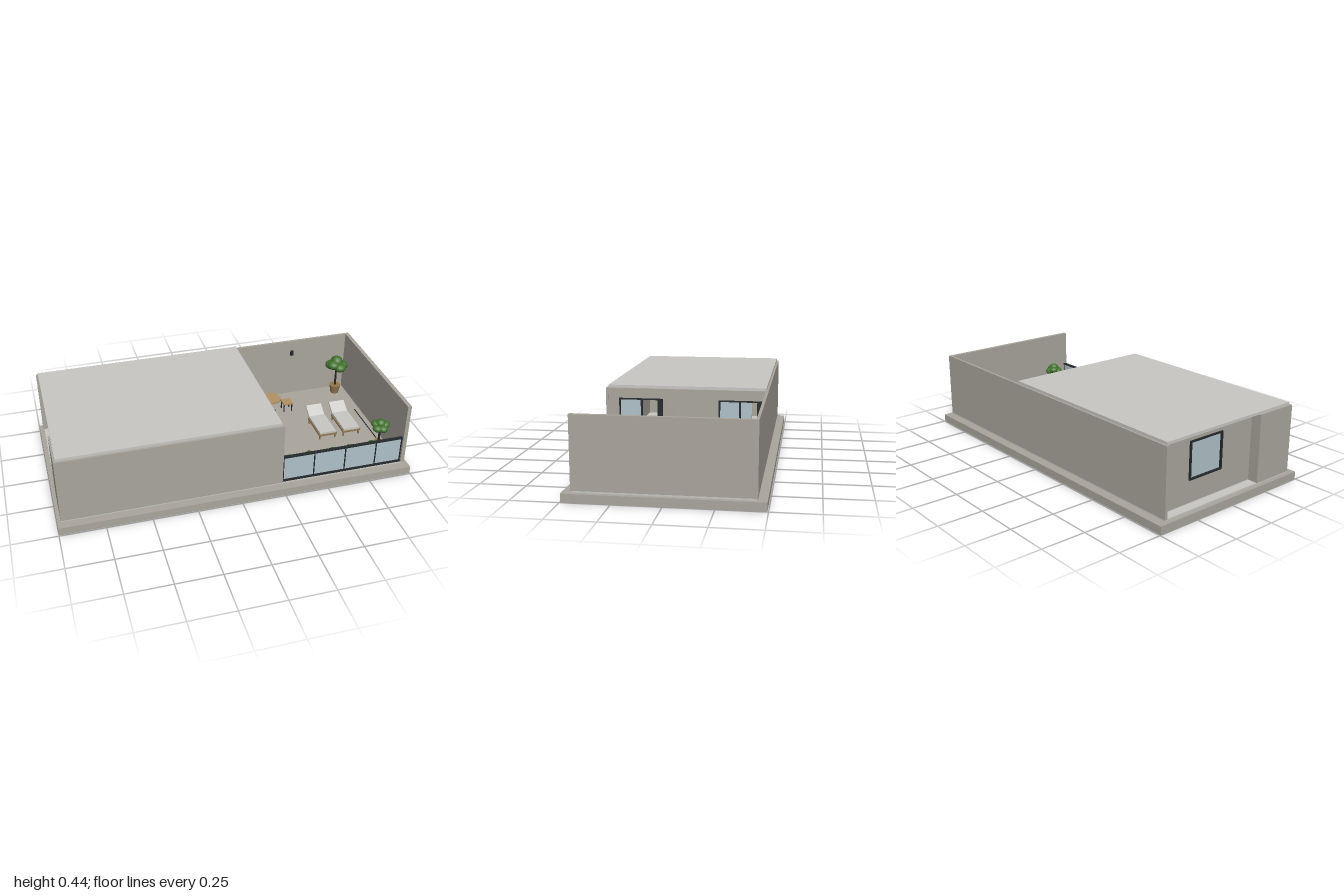
import * as THREE from 'three';

const mat = (name, color) => {
  const m = new THREE.MeshStandardMaterial({ color });
  m.name = name;
  return m;
};

export function createModel() {
  const root = new THREE.Group();
  root.name = 'terraceHouse';
  const wall = mat('concrete', 0xaaa69d);
  const pale = mat('paleGrey', 0xc8c7c4);
  const dark = mat('darkMetal', 0x25292c);
  const glass = mat('glass', 0xb0c1c9);
  const wood = mat('wood', 0xb39165);
  const brown = mat('planterBrown', 0x93764f);
  const leaf = mat('foliage', 0x44752f);

  const add = (parent, name, geo, material, x = 0, y = 0, z = 0) => {
    const m = new THREE.Mesh(geo, material);
    m.name = name;
    m.position.set(x, y, z);
    parent.add(m);
    return m;
  };
  // Box given by its minimum and maximum corners
  const box = (parent, name, material, x0, x1, y0, y1, z0, z1) =>
    add(parent, name, new THREE.BoxGeometry(x1 - x0, y1 - y0, z1 - z0), material,
      (x0 + x1) / 2, (y0 + y1) / 2, (z0 + z1) / 2);
  const group = (name, x = 0, y = 0, z = 0) => {
    const g = new THREE.Group();
    g.name = name;
    g.position.set(x, y, z);
    root.add(g);
    return g;
  };

  const F = 0.055; // floor level
  const T = 0.43; // wall top

  // Foundation, floors and roof
  box(root, 'foundation', wall, -1, 1, 0, 0.045, -0.495, 0.495);
  box(root, 'floorSlab', pale, -0.975, 0.975, 0.045, F - 0.001, -0.445, 0.445);
  box(root, 'terraceFloor', wall, 0.245, 0.958, 0.05, F, -0.436, 0.44);
  box(root, 'roof', pale, -0.97, 0.232, T, 0.445, -0.438, 0.438);

  // Outer walls
  box(root, 'backWall', wall, -0.98, 0.98, F, T, -0.45, -0.435);
  box(root, 'frontWall', wall, -0.98, 0.245, F, T, 0.435, 0.45);
  box(root, 'terraceEndWall', wall, 0.957, 0.98, F, T, -0.435, 0.45);
  box(root, 'houseEndWall', wall, -0.98, -0.92, F, T, 0.205, 0.435);

  // Wall across the depth with rectangular openings [z0, z1, y0, y1]
  const crossWall = (name, xOuter, depth, z0, z1, openings) => {
    const s = new THREE.Shape();
    s.moveTo(z0, F).lineTo(z1, F).lineTo(z1, T).lineTo(z0, T).closePath();
    for (const [a, b, c, d] of openings) {
      const h = new THREE.Path();
      h.moveTo(a, c).lineTo(a, d).lineTo(b, d).lineTo(b, c).closePath();
      s.holes.push(h);
    }
    const geo = new THREE.ExtrudeGeometry(s, { depth, bevelEnabled: false });
    geo.rotateY(-Math.PI / 2);
    add(root, name, geo, wall, xOuter, 0, 0);
  };
  const doors = [[0.13, 0.375], [-0.42, -0.18]];
  const win = [-0.24, -0.015, 0.18, 0.385];
  crossWall('terraceDoorWall', 0.243, 0.02, -0.435, 0.435,
    doors.map(([a, b]) => [a, b, F + 0.003, 0.375]));
  crossWall('recessedWindowWall', -0.9, 0.02, -0.435, 0.205, [win]);

  // Frame of four bars round an opening in the z-y plane
  const frame = (parent, x0, x1, z0, z1, y0, y1, t) => {
    for (const [a, b] of [[z0, z0 + t], [z1 - t, z1]]) box(parent, 'frameUpright', dark, x0, x1, y0, y1, a, b);
    for (const [a, b] of [[y0, y0 + t], [y1 - t, y1]]) box(parent, 'frameRail', dark, x0, x1, a, b, z0, z1);
  };

  // End window
  const window_ = group('endWindow');
  frame(window_, -0.93, -0.9, win[0], win[1], win[2], win[3], 0.008);
  box(window_, 'windowPane', glass, -0.918, -0.912, win[2], win[3], win[0], win[1]);

  // Sliding doors, each half open
  doors.forEach(([a, b], i) => {
    const g = group('slidingDoor');
    frame(g, 0.222, 0.249, a, b, F, 0.375, 0.008);
    const [p, q] = i === 0 ? [b - 0.125, b] : [b - 0.115, b];
    box(g, 'fixedPane', glass, 0.236, 0.241, F, 0.372, p, q);
    box(g, 'paneStile', dark, 0.232, 0.246, F, 0.372, p - 0.006, p + 0.004);
    box(g, 'openStile', dark, 0.23, 0.248, F, 0.372, a + 0.004, a + 0.03);
    if (i === 1) box(g, 'slidPane', glass, 0.228, 0.233, F, 0.372, a + 0.06, p);
  });

  // Furniture inside the house
  const room = group('interior');
  box(room, 'cabinet', wood, 0, 0.08, F, 0.15, -0.1, 0.2);
  box(room, 'cabinetShelf', wood, 0, 0.06, 0.22, 0.232, -0.1, 0.2);
  box(room, 'cabinetScreen', dark, 0.02, 0.03, 0.25, 0.35, -0.06, 0.16);

  // Glass railing
  const rail = group('railing');
  const posts = [0.25, 0.43, 0.613, 0.797, 0.952];
  box(rail, 'bottomRail', dark, 0.246, 0.957, F, 0.068, 0.426, 0.444);
  box(rail, 'topRail', dark, 0.246, 0.957, 0.212, 0.22, 0.426, 0.444);
  box(rail, 'glassPanels', glass, 0.25, 0.952, 0.068, 0.212, 0.433, 0.438);
  for (const x of posts) box(rail, 'railPost', dark, x - 0.003, x + 0.003, F, 0.22, 0.43, 0.442);

  // Wall lamp and floor strip
  box(root, 'wallLamp', dark, 0.59, 0.608, 0.333, 0.365, -0.435, -0.423);
  box(root, 'floorStrip', dark, 0.922, 0.927, F, F + 0.003, -0.13, 0.19);

  // Round table and two stools
  const table = group('table', 0.41, 0, -0.25);
  add(table, 'tableTop', new THREE.CylinderGeometry(0.058, 0.058, 0.01, 32), wood, 0, 0.151, 0);
  add(table, 'tableStem', new THREE.CylinderGeometry(0.007, 0.007, 0.09, 12), dark, 0, 0.101, 0);
  add(table, 'tableFoot', new THREE.CylinderGeometry(0.033, 0.033, 0.007, 24), dark, 0, F + 0.0035, 0);
  for (const x of [0.307, 0.513]) {
    const stool = group('stool', x, 0, -0.25);
    box(stool, 'seat', wood, -0.03, 0.03, 0.105, 0.115, -0.03, 0.03);
    for (const sx of [-1, 1]) for (const sz of [-1, 1])
      add(stool, 'stoolLeg', new THREE.BoxGeometry(0.006, 0.05, 0.006), dark, sx * 0.025, 0.08, sz * 0.025);
  }

  // Sun loungers
  for (const x of [0.643, 0.793]) {
    const g = group('lounger', x);
    box(g, 'loungerFrame', brown, -0.055, 0.055, 0.082, 0.092, -0.07, 0.125);
    box(g, 'mattress', pale, -0.05, 0.05, 0.092, 0.104, -0.065, 0.12);
    const back = add(g, 'backrest', new THREE.BoxGeometry(0.098, 0.01, 0.085), pale, 0, 0.116, -0.097);
    back.rotation.x = 0.55;
    for (const sx of [-1, 1]) for (const z of [-0.06, 0.115])
      add(g, 'loungerLeg', new THREE.BoxGeometry(0.008, 0.028, 0.008), brown, sx * 0.048, 0.069, z);
  }

  // Clumps of leaves
  const clump = (parent, y, r, spread, turn) => {
    for (let i = 0; i < 5; i++) {
      const a = turn + i * Math.PI * 0.4;
      const m = add(parent, 'leafClump', new THREE.SphereGeometry(r, 16, 12), leaf,
        Math.cos(a) * spread, y + (i % 2) * r * 0.45, Math.sin(a) * spread);
      m.scale.y = 0.75;
    }
    add(parent, 'leafCrown', new THREE.SphereGeometry(r, 16, 12), leaf, 0, y + r * 0.75, 0);
  };

  // Potted trees: x, z, size, canopy height
  [[0.302, -0.375, 1, 0.2], [0.883, -0.367, 1.25, 0.25], [0.888, 0.292, 0.95, 0.21]].forEach(([x, z, s, h], i) => {
    const g = group('pottedTree', x, 0, z);
    add(g, 'pot', new THREE.CylinderGeometry(0.028 * s, 0.02 * s, 0.055, 20), brown, 0, F + 0.0275, 0);
    add(g, 'trunk', new THREE.CylinderGeometry(0.005, 0.007, h - 0.1, 10), dark, 0, (h + 0.1) / 2, 0);
    clump(g, h, 0.03 * s, 0.028 * s, i * 1.3);
  });

  // Row of planter boxes along the railing
  for (let i = 0; i < 6; i++) {
    const x = i < 5 ? 0.305 + i * 0.125 : 0.921;
    const w = i < 5 ? 0.042 : 0.034;
    const g = group('planter', x, 0, 0.38);
    box(g, 'planterBox', wood, -w, w, F, 0.125, -0.028, 0.028);
    box(g, 'planterSoil', brown, -w + 0.006, w - 0.006, 0.12, 0.127, -0.022, 0.022);
    clump(g, 0.15, 0.019, 0.019, i * 0.9);
  }
  return root;
}
